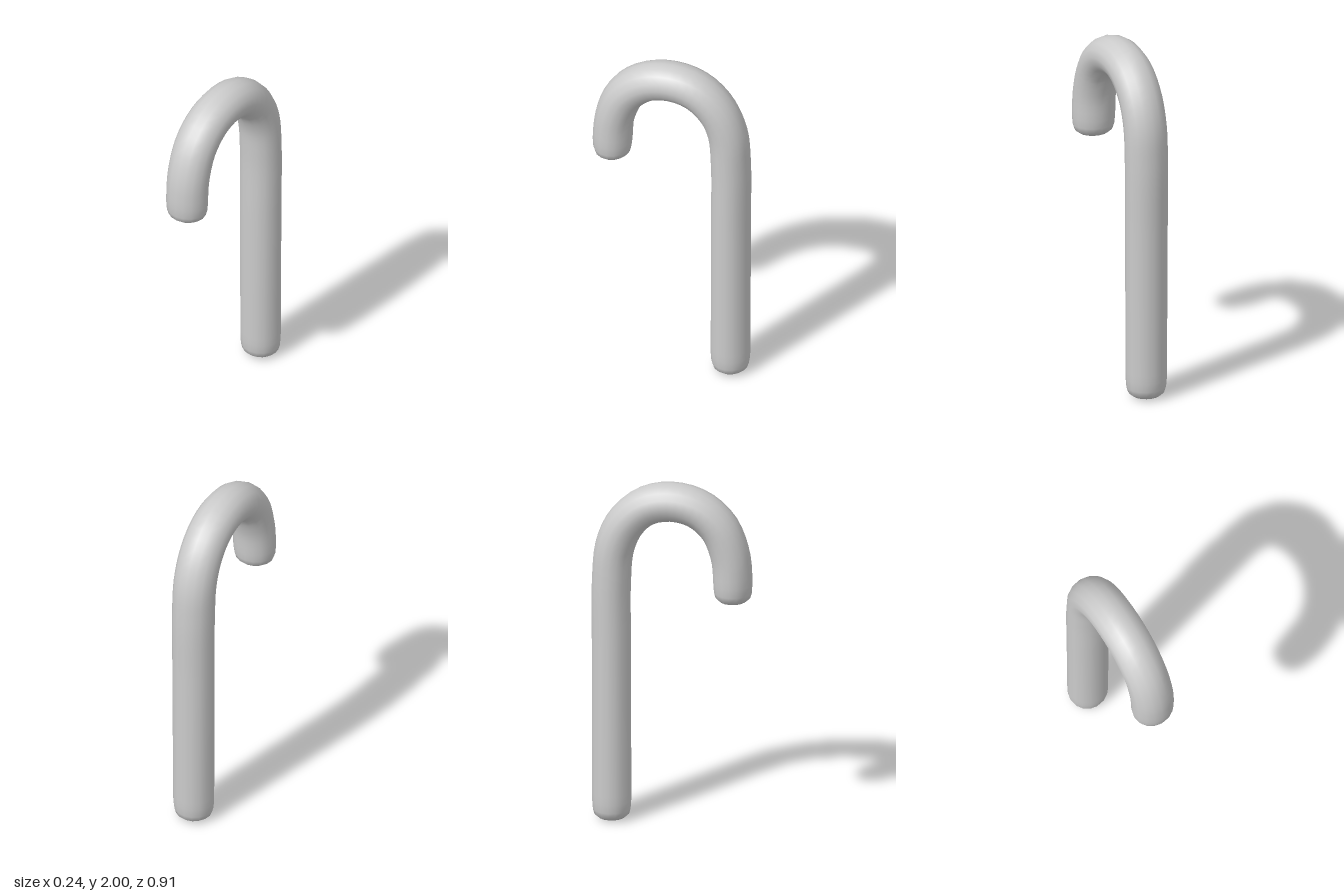
import * as THREE from 'three';
import { mergeVertices } from 'three/addons/utils/BufferGeometryUtils.js';

const SIDES = 16;

// Centre line as [z, y], from the foot up the shaft and over the hook
const PATH = [
  [-0.34, 0.002], [-0.341, 0.5], [-0.342, 1.0], [-0.342, 1.4], [-0.322, 1.61], [-0.258, 1.755],
  [-0.145, 1.857], [0, 1.891], [0.15, 1.857], [0.265, 1.757], [0.328, 1.6], [0.343, 1.45], [0.343, 1.325],
];

// Rounded end as [distance from the tip, share of the full radius]
const CAP = [[0, 0], [0.003, 0.4], [0.01, 0.68], [0.03, 0.89], [0.06, 0.965], [0.11, 1]];

// Sweeps an oval along a curve lying in the yz plane and closes both ends
function sweepOval(curve, steps) {
  const length = curve.getLength();
  const sections = CAP.map(([d, s]) => [d / length, s]);
  const first = 0.11 / length;
  for (let i = 1; i < steps; i++) sections.push([first + (1 - 2 * first) * i / steps, 1]);
  for (const [d, s] of [...CAP].reverse()) sections.push([1 - d / length, s]);

  const positions = [], index = [];
  const side = new THREE.Vector3(1, 0, 0);
  sections.forEach(([u, scale], i) => {
    const centre = curve.getPointAt(u);
    const normal = curve.getTangentAt(u).cross(side).normalize();
    // The shaft is slightly narrower at the foot
    const halfWidth = scale * (0.115 + 0.007 * Math.min(1, u * 2));
    const halfDepth = scale * 0.11;
    for (let j = 0; j < SIDES; j++) {
      const a = j / SIDES * Math.PI * 2;
      const p = centre.clone()
        .addScaledVector(side, Math.cos(a) * halfWidth)
        .addScaledVector(normal, Math.sin(a) * halfDepth);
      positions.push(p.x, p.y, p.z);
      if (i === 0) continue;
      const k = (j + 1) % SIDES, low = (i - 1) * SIDES, high = i * SIDES;
      index.push(low + j, low + k, high + k, low + j, high + k, high + j);
    }
  });

  let geometry = new THREE.BufferGeometry();
  geometry.setAttribute('position', new THREE.Float32BufferAttribute(positions, 3));
  geometry.setIndex(index);
  geometry = mergeVertices(geometry, 1e-5);
  geometry.computeVertexNormals();
  return geometry;
}

export function createModel() {
  const group = new THREE.Group();
  group.name = 'candyCane';

  const curve = new THREE.CatmullRomCurve3(PATH.map(([z, y]) => new THREE.Vector3(0, y, z)));
  curve.arcLengthDivisions = 600;
  const cane = new THREE.Mesh(
    sweepOval(curve, 56),
    new THREE.MeshStandardMaterial({ color: 0xcccccc }),
  );
  cane.name = 'cane';
  group.add(cane);
  return group;
}
